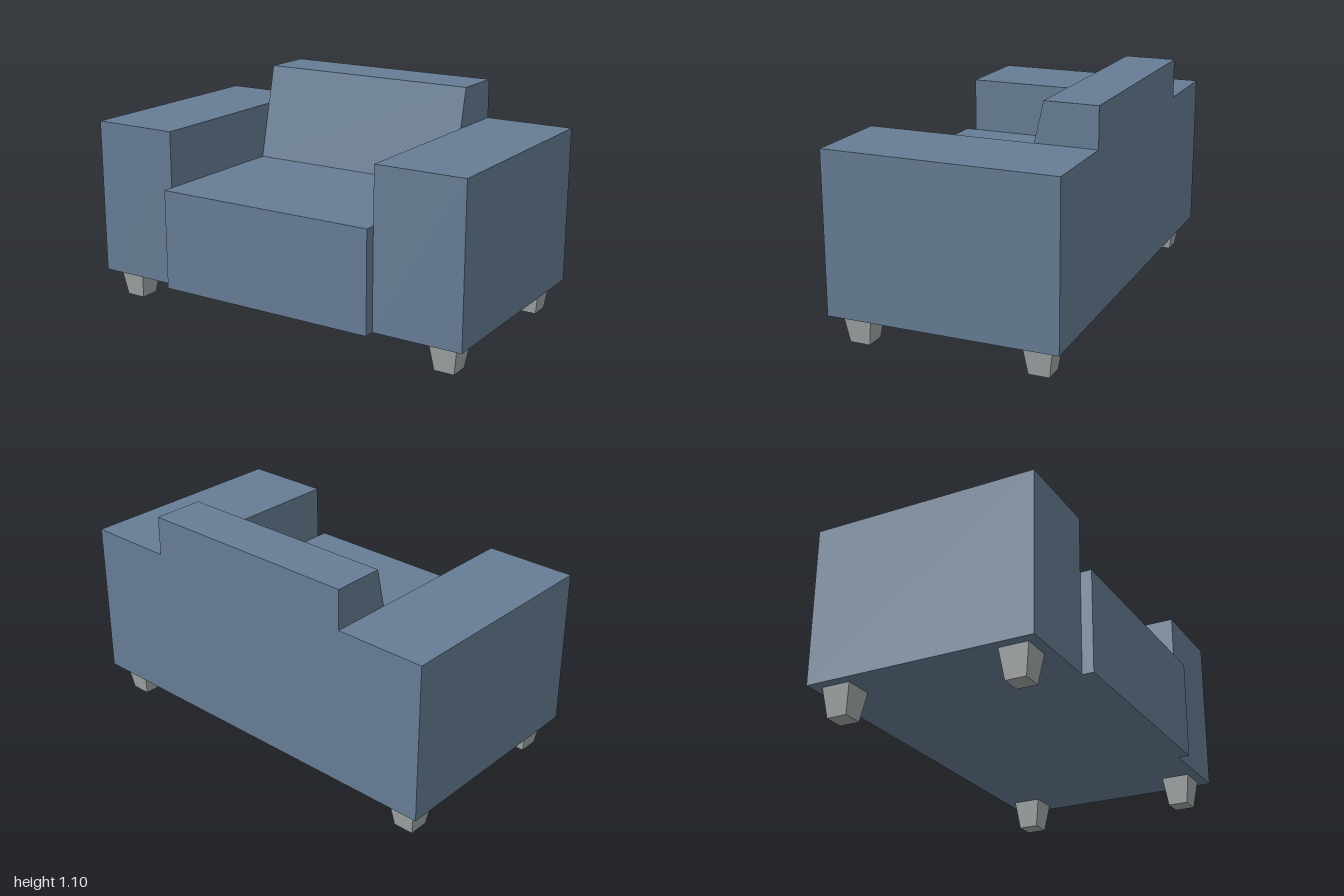
import * as THREE from 'three';

const BASE = 0.14, BACK = -0.577, SEAT_W = 1.12;

export function createModel() {
  const group = new THREE.Group();
  group.name = 'armchair';
  const fabric = new THREE.MeshStandardMaterial({ name: 'blue fabric', color: 0x667c94, flatShading: true });
  const metal = new THREE.MeshStandardMaterial({ name: 'grey leg', color: 0xa3a7a8, flatShading: true });

  const add = (name, geometry, material, x = 0, y = 0, z = 0) => {
    const mesh = new THREE.Mesh(geometry, material);
    mesh.name = name;
    mesh.position.set(x, y, z);
    group.add(mesh);
  };
  // box given by its limits in y and z
  const block = (name, x, width, y0, y1, z0, z1) =>
    add(name, new THREE.BoxGeometry(width, y1 - y0, z1 - z0), fabric, x, (y0 + y1) / 2, (z0 + z1) / 2);

  // seat block, slightly proud of the arms
  block('seat', 0, SEAT_W, BASE, 0.632, BACK, 0.577);

  // backrest with a sloping front, side profile drawn as (-z, y)
  const profile = new THREE.Shape([
    [0.217, 0.632], [-BACK, 0.632], [-BACK, 1.098], [0.325, 1.098],
  ].map(([a, b]) => new THREE.Vector2(a, b)));
  const backrest = new THREE.ExtrudeGeometry(profile, { depth: SEAT_W, bevelEnabled: false });
  backrest.rotateY(Math.PI / 2);
  backrest.translate(-SEAT_W / 2, 0, 0);
  add('backrest', backrest, fabric);

  // tapered square foot
  const leg = new THREE.CylinderGeometry(0.07 * Math.SQRT2, 0.049 * Math.SQRT2, BASE, 4);
  leg.rotateY(Math.PI / 4);

  for (const [side, s] of [['left', 1], ['right', -1]]) {
    block(side + 'Arm', s * 0.78, 0.44, BASE, 0.906, BACK, 0.523);
    add(side + 'FrontLeg', leg, metal, s * 0.882, BASE / 2, 0.404);
    add(side + 'BackLeg', leg, metal, s * 0.882, BASE / 2, -0.459);
  }
  return group;
}
